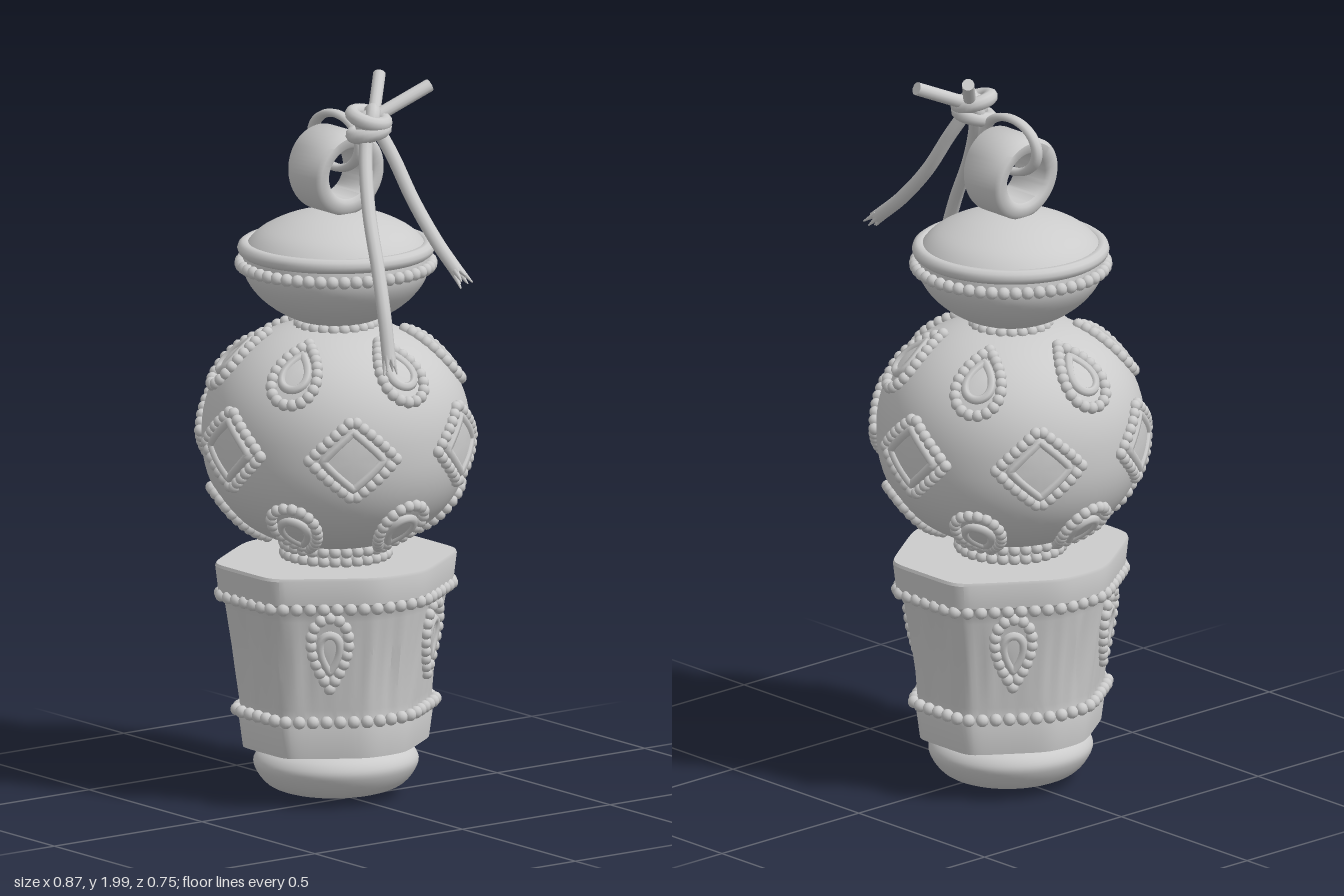
import * as THREE from 'three';
import { mergeGeometries, toCreasedNormals } from 'three/addons/utils/BufferGeometryUtils.js';

const V2 = (x, y) => new THREE.Vector2(x, y);
const V3 = (x, y, z) => new THREE.Vector3(x, y, z);
const mat = new THREE.MeshStandardMaterial({ color: 0xcccccc });
const thin = new THREE.MeshStandardMaterial({ color: 0xcccccc, side: THREE.DoubleSide });

export function createModel() {
  const group = new THREE.Group();
  const body = new THREE.Group();
  body.name = 'charmBody';
  body.position.x = -0.06;
  group.add(body);

  const add = (parent, name, geo, material = mat) => {
    const m = new THREE.Mesh(geo, material);
    m.name = name;
    parent.add(m);
    return m;
  };
  const spline = (pts, n = 40) => new THREE.SplineCurve(pts.map(p => V2(...p))).getPoints(n)
    .map(p => V2(Math.max(0, p.x), p.y));
  const beads = (name, points, r) => add(body, name, mergeGeometries(
    points.map(p => new THREE.SphereGeometry(r, 10, 7).translate(p.x, p.y, p.z))));
  const circle = (r, y, n) => Array.from({ length: n }, (_, i) => {
    const a = i / n * Math.PI * 2;
    return V3(r * Math.sin(a), y, r * Math.cos(a));
  });

  // Outlines for the ornaments, as points in a flat (u, v) frame
  const teardrop = (w, h) => Array.from({ length: 24 }, (_, i) => {
    const t = i / 24 * Math.PI * 2;
    return V2(1.3 * w * Math.sin(t) * Math.sin(t / 2), h * Math.cos(t));
  });
  const diamond = (w, h) => {
    const c = [V2(w, 0), V2(0, h), V2(-w, 0), V2(0, -h)];
    return c.flatMap((p, i) => [0, 1, 2, 3, 4].map(k => p.clone().lerp(c[(i + 1) % 4], k / 5)));
  };
  // Ornament: bead border, raised wire and filled panel laid on a surface map(u, v, offset)
  const ornament = (name, map, shape, w, h, inner, count, r) => {
    const loop = (s, off) => new THREE.CatmullRomCurve3(
      shape(w * s, h * s).map(p => map(p.x, p.y, off)), true, 'catmullrom', shape === diamond ? 0.1 : 0.5);
    beads(name + 'Beads', loop(1, 0.005).getSpacedPoints(count).slice(0, count), r);
    add(body, name + 'Wire', new THREE.TubeGeometry(loop(inner, 0.006), 48, 0.0125, 6, true));
    const edge = loop(inner, 0.009).getPoints(24);
    const mid = map(0, 0, 0.013);
    const pos = [];
    for (let i = 0; i < 24; i++) pos.push(mid, edge[i], edge[i + 1]);
    const panel = new THREE.BufferGeometry().setFromPoints(pos);
    add(body, name + 'Panel', toCreasedNormals(panel, 0.6), thin);
  };

  // Rounded foot
  add(body, 'foot', new THREE.LatheGeometry(spline([[0, 0.005], [0.1, 0.014], [0.175, 0.038],
    [0.213, 0.09], [0.205, 0.125], [0.17, 0.15]], 24), 64).scale(1, 1, 1.06));

  // Faceted cup: soft octagon with wide diagonal faces
  const NX = 0.824, NZ = 0.566, D = 0.29;
  const rho = a => {
    const c = Math.abs(Math.cos(a)), s = Math.abs(Math.sin(a)), p = 22;
    return Math.pow(Math.pow(c / 0.297, p) + Math.pow(s / 0.322, p)
      + Math.pow((c * NX + s * NZ) / D, p), -1 / p);
  };
  const cupScale = y => 0.77 + (y - 0.15) * 0.44;
  const cupProfile = [[0, 0.15], [0.77, 0.15], [0.805, 0.235], [0.79, 0.25]];
  for (let i = 0; i <= 12; i++) {
    const y = 0.26 + i * 0.025;
    cupProfile.push([cupScale(y) - 0.025, y]);
  }
  cupProfile.push([0.95, 0.575], [0.975, 0.585], [1, 0.652], [0.99, 0.66], [0, 0.66]);
  const cup = new THREE.LatheGeometry(cupProfile.map(p => V2(...p)), 144);
  const cp = cup.attributes.position;
  for (let i = 0; i < cp.count; i++) {
    const x = cp.getX(i), y = cp.getY(i), z = cp.getZ(i), a = Math.atan2(z, x);
    // folds gather toward the four narrow facets
    const t = THREE.MathUtils.clamp((y - 0.25) / 0.32, 0, 1);
    const fold = Math.sin(t * Math.PI) * Math.max(Math.abs(Math.sin(a)) ** 4, Math.abs(Math.cos(a)) ** 10);
    const k = rho(a) * (1 - 0.026 * fold * (1 + Math.sin(a * 24 + 2 * t) * Math.cos(a * 9 + 0.5)));
    cp.setXYZ(i, x * k, y, z * k);
  }
  add(body, 'cup', toCreasedNormals(cup, 0.5));

  const cupRing = (y, n) => {
    const pts = Array.from({ length: 96 }, (_, i) => {
      const a = i / 96 * Math.PI * 2, r = rho(a) * cupScale(y) + 0.002;
      return V3(r * Math.cos(a), y, r * Math.sin(a));
    });
    return new THREE.CatmullRomCurve3(pts, true).getSpacedPoints(n).slice(0, n);
  };
  beads('cupUpperBeads', cupRing(0.573, 52), 0.0175);
  beads('cupLowerBeads', cupRing(0.253, 44), 0.0175);

  // Hanging teardrops on the four diagonal cup faces
  for (const sx of [1, -1]) for (const sz of [1, -1]) {
    ornament('cupTeardrop', (u, v, off) => {
      const y = 0.447 - v, s = cupScale(y), d = (D - 0.008) * s + off, t = u + 0.03;
      return V3(sx * (NX * d - NZ * t), y, sz * (NZ * d + NX * t));
    }, teardrop, 0.051, 0.1, 0.52, 18, 0.0165);
  }

  // Neck beads between cup and globe
  add(body, 'lowerNeck', new THREE.CylinderGeometry(0.13, 0.13, 0.08, 40).translate(0, 0.69, 0));
  beads('lowerNeckBeads', circle(0.138, 0.672, 28), 0.0165);
  beads('lowerNeckUpperBeads', circle(0.14, 0.699, 28), 0.0165);

  // Globe, slightly squared, with diamonds round the middle and teardrops above and below
  const R = 0.362, H = 0.308, E = 0.89;
  const globeRadius = f => Math.max(0, Math.cos(f)) ** E;
  const globeHeight = f => Math.sign(f) * Math.abs(Math.sin(f)) ** E;
  add(body, 'globe', new THREE.LatheGeometry(Array.from({ length: 41 }, (_, i) => {
    const f = (i / 40 - 0.5) * Math.PI;
    return V2(R * globeRadius(f), 1 + H * globeHeight(f));
  }), 64));
  const onGlobe = (a0, lat, flip) => (u, v, off) => {
    const f = lat + v / 0.335, r = globeRadius(f);
    const a = a0 + u / (R * Math.max(0.3, r));
    return V3((R + off) * r * Math.sin(a), 1 + flip * (H + off) * globeHeight(f), (R + off) * r * Math.cos(a));
  };
  for (let i = 0; i < 6; i++) {
    const a = i * Math.PI / 3;
    ornament('globeDiamond', onGlobe(a, 0, 1), diamond, 0.119, 0.104, 0.68, 26, 0.0165);
    for (const flip of [1, -1])
      ornament('globeTeardrop', onGlobe(a + Math.PI / 6, 0.755, flip), teardrop, 0.063, 0.11, 0.56, 21, 0.0165);
  }
  beads('upperNeckBeads', circle(0.1, 1.303, 22), 0.016);

  // Lens-shaped cap with rolled rim and bead row
  add(body, 'cap', new THREE.LatheGeometry(spline([[0, 1.295], [0.09, 1.312], [0.155, 1.34], [0.212, 1.385],
    [0.247, 1.44], [0.249, 1.5], [0.232, 1.533], [0.195, 1.565], [0.13, 1.595], [0.06, 1.612], [0, 1.615]]), 64));
  add(body, 'capRim', new THREE.TorusGeometry(0.246, 0.02, 10, 72).rotateX(Math.PI / 2).translate(0, 1.511, 0));
  beads('capBeads', circle(0.257, 1.468, 50), 0.0175);

  // Broad hanging ring, narrower where it meets the cap
  const bail = new THREE.LatheGeometry([[0.07, -0.07], [0.08, -0.082], [0.104, -0.082], [0.115, -0.07],
    [0.115, 0.07], [0.104, 0.082], [0.08, 0.082], [0.07, 0.07], [0.07, -0.07]].map(p => V2(...p)), 56);
  bail.rotateZ(Math.PI / 2);
  const bp = bail.attributes.position;
  for (let i = 0; i < bp.count; i++) bp.setX(i, bp.getX(i) * (0.87 + bp.getY(i) * 1.2));
  add(body, 'hangingRing', toCreasedNormals(bail.translate(0, 1.723, 0), 0.85));

  // Cord: loop through the ring, knot, short ends and trailing ends
  const cord = new THREE.Group();
  cord.name = 'cord';
  group.add(cord);
  const loopGeo = new THREE.TorusGeometry(1, 0.15, 10, 56);
  loopGeo.scale(0.104, 0.074, 0.105).translate(-0.06, 1.805, 0);
  add(cord, 'cordLoop', loopGeo);
  const rod = (name, a, b, r0, r1) => {
    const dir = b.clone().sub(a);
    const m = add(cord, name, new THREE.CylinderGeometry(r1, r0, dir.length(), 12));
    m.position.copy(a).addScaledVector(dir, 0.5);
    m.quaternion.setFromUnitVectors(V3(0, 1, 0), dir.normalize());
  };
  for (const [y, r, tx, tz] of [[1.855, 0.044, 0.2, 0.1], [1.893, 0.046, -0.15, -0.25], [1.878, 0.036, 1.2, 0.5]]) {
    const m = add(cord, 'knotTurn', new THREE.TorusGeometry(r, 0.02, 10, 32).rotateX(Math.PI / 2));
    m.position.set(0.085, y, 0);
    m.rotation.set(tx, 0, tz);
  }
  add(cord, 'knotCore', new THREE.SphereGeometry(0.038, 16, 12).translate(0.085, 1.876, 0));
  rod('shortEnd', V3(0.09, 1.88, -0.01), V3(-0.005, 1.985, -0.105), 0.017, 0.017);
  rod('shortEnd', V3(0.075, 1.88, 0), V3(0.113, 1.963, -0.185), 0.018, 0.018);

  const trails = [
    [[0.09, 1.87, -0.02], [0.14, 1.79, -0.04], [0.21, 1.68, -0.055], [0.3, 1.58, -0.066], [0.39, 1.505, -0.073]],
    [[0.09, 1.87, 0.01], [0.13, 1.79, 0.045], [0.21, 1.67, 0.095], [0.31, 1.53, 0.14], [0.37, 1.42, 0.165], [0.408, 1.305, 0.178]],
  ];
  for (const pts of trails) {
    const curve = new THREE.CatmullRomCurve3(pts.map(p => V3(...p)));
    add(cord, 'trailingEnd', new THREE.TubeGeometry(curve, 40, 0.0185, 10), thin);
    // frayed strands at the tip
    const end = curve.getPoint(1), dir = curve.getTangent(1);
    const side = V3(0, 0, 1).cross(dir).normalize(), out = dir.clone().cross(side);
    for (let i = 0; i < 6; i++) {
      const a = i * Math.PI / 3, o = side.clone().multiplyScalar(Math.cos(a)).addScaledVector(out, Math.sin(a));
      rod('frayedStrand', end.clone().addScaledVector(o, 0.01).addScaledVector(dir, -0.01),
        end.clone().addScaledVector(o, 0.018).addScaledVector(dir, 0.02 + 0.01 * (i % 3)), 0.009, 0.002);
    }
  }
  return group;
}
